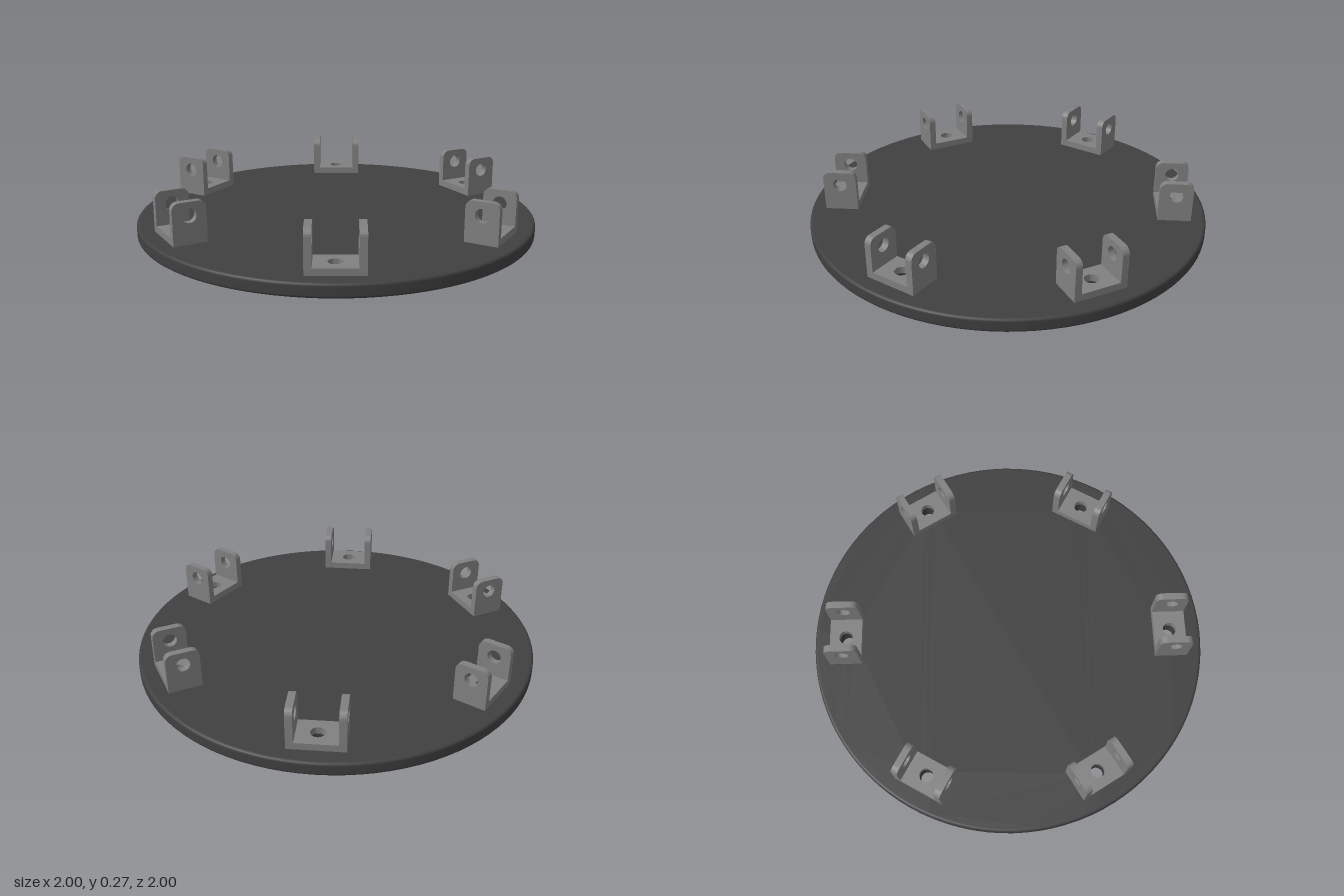
import * as THREE from 'three';
import { toCreasedNormals } from 'three/addons/utils/BufferGeometryUtils.js';

const PLATE_H = 0.068, FILLET = 0.014;
const RING = 0.835;           // distance of brackets from the centre
const HALF_W = 0.132, HALF_D = 0.082, WALL = 0.034, TOP = 0.27;
const HOLE = 0.034;

const plateMaterial = new THREE.MeshStandardMaterial({ color: 0x404040 });
const bracketMaterial = new THREE.MeshStandardMaterial({ color: 0x808080 });

function circle(x, y, r) {
  return new THREE.Path().absarc(x, y, r, 0, Math.PI * 2, true);
}

function extrude(shape, depth, curveSegments) {
  const geo = new THREE.ExtrudeGeometry(shape, { depth, curveSegments, bevelEnabled: false });
  return toCreasedNormals(geo, 0.6);
}

function addMesh(parent, name, geometry, material) {
  const mesh = new THREE.Mesh(geometry, material);
  mesh.name = name;
  parent.add(mesh);
  return mesh;
}

// Round plate with six bolt holes and a softened rim
function createPlate() {
  const plate = new THREE.Group();
  plate.name = 'basePlate';
  const disc = new THREE.Shape().absarc(0, 0, 1 - FILLET, 0, Math.PI * 2, false);
  for (let i = 0; i < 6; i++) {
    const a = Math.PI / 2 + i * Math.PI / 3;
    disc.holes.push(circle(RING * Math.cos(a), RING * Math.sin(a), HOLE));
  }
  addMesh(plate, 'plateDisc', extrude(disc, PLATE_H, 96).rotateX(-Math.PI / 2), plateMaterial);

  const profile = [];
  for (const [y, start] of [[FILLET, -Math.PI / 2], [PLATE_H - FILLET, 0]]) {
    for (let k = 0; k <= 4; k++) {
      const a = start + k * Math.PI / 8;
      profile.push(new THREE.Vector2(1 - FILLET + FILLET * Math.cos(a), y + FILLET * Math.sin(a)));
    }
  }
  addMesh(plate, 'plateRim', new THREE.LatheGeometry(profile, 96), plateMaterial);
  return plate;
}

// Floor of a bracket, drilled in line with the plate hole
function createFloorGeometry() {
  const w = HALF_W - WALL, d = HALF_D;
  const shape = new THREE.Shape();
  shape.moveTo(-w, -d).lineTo(w, -d).lineTo(w, d).lineTo(-w, d).closePath();
  shape.holes.push(circle(0, 0, HOLE));
  return extrude(shape, 0.034, 96).rotateX(-Math.PI / 2);
}

// Upright ear with rounded top corners and a pin hole
function createEarGeometry() {
  const d = HALF_D, h = TOP - PLATE_H, r = 0.035;
  const shape = new THREE.Shape();
  shape.moveTo(-d, 0).lineTo(d, 0).lineTo(d, h - r);
  shape.absarc(d - r, h - r, r, 0, Math.PI / 2, false);
  shape.lineTo(-d + r, h);
  shape.absarc(-d + r, h - r, r, Math.PI / 2, Math.PI, false);
  shape.closePath();
  shape.holes.push(circle(0, 0.204 - PLATE_H, HOLE));
  return extrude(shape, WALL, 24).translate(0, 0, -WALL / 2).rotateY(Math.PI / 2);
}

export function createModel() {
  const model = new THREE.Group();
  model.name = 'mountingPlate';
  model.add(createPlate());

  // Six U-shaped brackets around the plate
  const floor = createFloorGeometry();
  const ear = createEarGeometry();
  for (let i = 0; i < 6; i++) {
    const a = i * Math.PI / 3;
    const bracket = new THREE.Group();
    bracket.name = 'bracket' + (i + 1);
    bracket.position.set(RING * Math.sin(a), PLATE_H, RING * Math.cos(a));
    bracket.rotation.y = a;
    addMesh(bracket, 'bracketFloor', floor, bracketMaterial);
    for (const side of [-1, 1]) {
      addMesh(bracket, side > 0 ? 'leftEar' : 'rightEar', ear, bracketMaterial)
        .position.x = side * (HALF_W - WALL / 2);
    }
    model.add(bracket);
  }
  return model;
}
